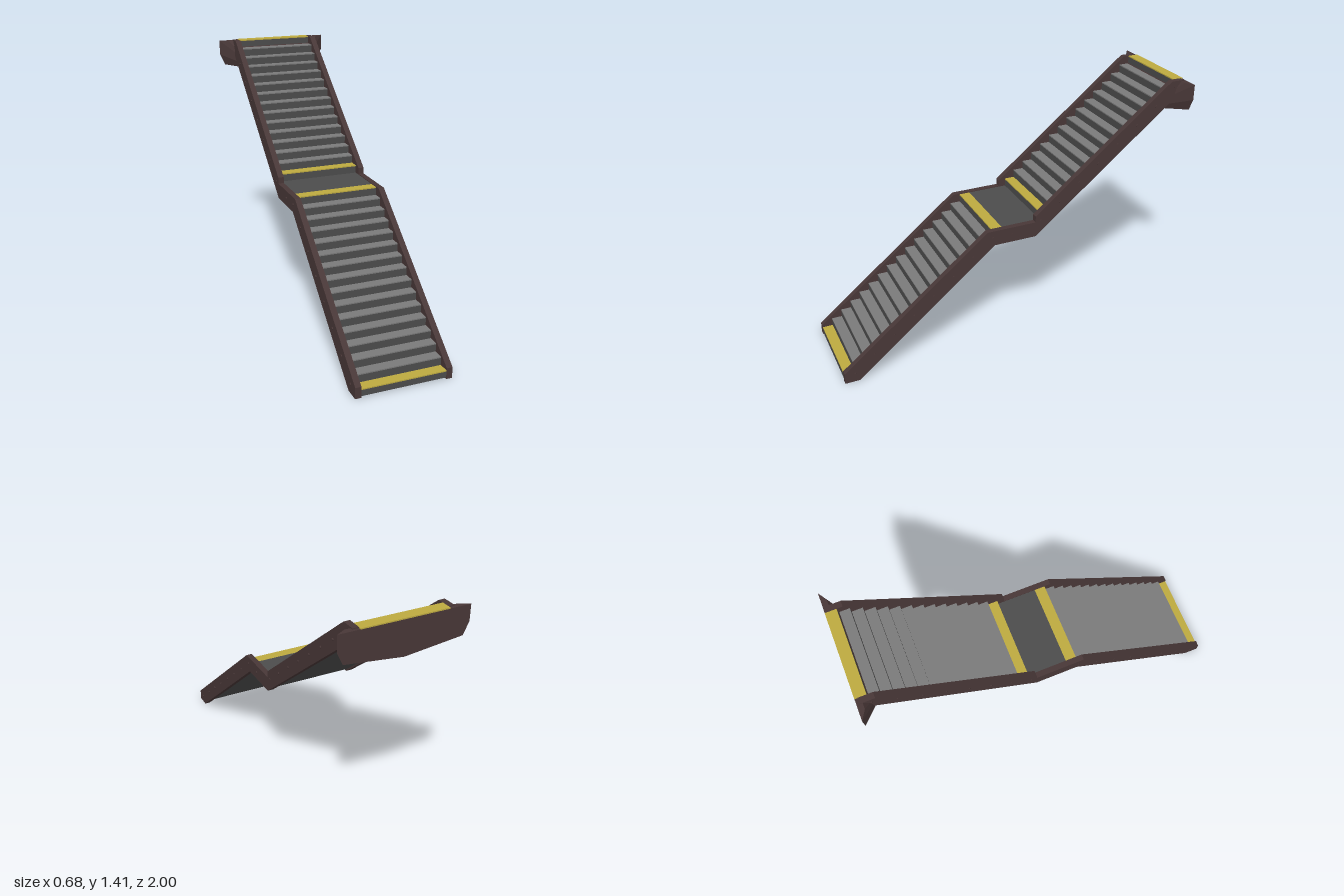
import * as THREE from 'three';
import { ConvexGeometry } from 'three/addons/geometries/ConvexGeometry.js';

const mat = (name, color) => {
  const m = new THREE.MeshStandardMaterial({ color, flatShading: true });
  m.name = name;
  return m;
};

// Extrudes a side profile of [z, y] points across x, from x0 to x1
function sideExtrude(points, x0, x1) {
  const shape = new THREE.Shape(points.map(p => new THREE.Vector2(p[0], p[1])));
  const geo = new THREE.ExtrudeGeometry(shape, { depth: x1 - x0, bevelEnabled: false });
  geo.rotateY(-Math.PI / 2);
  geo.translate(x1, 0, 0);
  return geo;
}

export function createModel() {
  const brown = mat('dark brown metal', 0x483737);
  const darkGrey = mat('dark grey metal', 0x4c4c4c);
  const lightGrey = mat('tread grey', 0x7a7a7a);
  const yellow = mat('safety yellow', 0xbdaa40);
  const group = new THREE.Group();
  const add = (name, geo, material) => {
    const mesh = new THREE.Mesh(geo, material);
    mesh.name = name;
    group.add(mesh);
    return mesh;
  };

  const half = 0.228, plate = 0.006, steps = 15;

  // Step list: front edge z and top height, for both flights
  const treads = [];
  for (let k = 0; k <= steps; k++) {
    treads.push({ z: 0.998 - k * 0.0575, y: 0.047 + k * 0.0453, edge: k === 0 || k === steps });
  }
  for (let k = 1; k <= steps; k++) {
    treads.push({ z: -0.15 - (k - 1) * 0.0565, y: 0.726 + k * 0.0456, edge: k === 1 || k === steps });
  }

  // Stair body: stepped top, smooth underside
  const profile = [[0.935, 0.008], [0.998, 0.008]];
  treads.forEach((t, i) => {
    const next = i + 1 < treads.length ? treads[i + 1].z : -0.995;
    profile.push([t.z, t.y - plate], [next, t.y - plate]);
  });
  profile.push([-0.995, 1.375], [-0.115, 0.66], [0.128, 0.66]);
  add('stairBody', sideExtrude(profile, -half, half), darkGrey);

  // Tread plates, yellow at the ends of each flight
  treads.forEach((t, i) => {
    const next = i + 1 < treads.length ? treads[i + 1].z : -1;
    const back = i === steps ? t.z - 0.06 : next;
    const geo = new THREE.BoxGeometry(half * 2, plate, t.z - back);
    geo.translate(0, t.y - plate / 2, (t.z + back) / 2);
    add(t.edge ? 'warningTread' : 'tread', geo, t.edge ? yellow : lightGrey);
  });

  // Landing plate between the flights
  const landing = new THREE.BoxGeometry(half * 2, plate, 0.23);
  landing.translate(0, 0.7265 - plate / 2, -0.037);
  add('landing', landing, darkGrey);

  // Side stringers with a row of rivets
  const stringer = [
    [0.92, 0], [1, 0], [1, 0.06], [0.17, 0.73], [-0.11, 0.73], [-0.11, 0.765],
    [-0.91, 1.41], [-0.985, 1.41], [-0.985, 1.352], [-0.11, 0.645], [0.13, 0.645],
  ];
  const rivets = [];
  for (let i = 0; i < 8; i++) {
    rivets.push([0.943 - i * 0.1145, 0.05 + i * 0.0915]);
    rivets.push([-0.14 - i * 0.1135, 0.735 + i * 0.0915]);
  }
  rivets.push([0.03, 0.69]);
  for (const s of [-1, 1]) {
    const side = s > 0 ? 'left' : 'right';
    add(side + 'Stringer', sideExtrude(stringer, s > 0 ? 0.228 : -0.26, s > 0 ? 0.26 : -0.228), brown);
    for (const [z, y] of rivets) {
      const geo = new THREE.CylinderGeometry(0.006, 0.006, 0.012, 6);
      geo.rotateZ(Math.PI / 2);
      geo.translate(s * 0.259, y, z);
      add(side + 'Rivet', geo, brown);
    }
  }

  // Faceted top bracket: wide back, tapering forward under the stairs
  const corners = [new THREE.Vector3(0, 1.22, -1), new THREE.Vector3(0, 1.22, -0.825)];
  for (const s of [-1, 1]) {
    for (const [x, y, z] of [
      [0.34, 1.405, -1], [0.34, 1.32, -1], [0.31, 1.255, -1],
      [0.29, 1.405, -0.97], [0.29, 1.3, -0.97], [0.14, 1.236, -0.835],
    ]) corners.push(new THREE.Vector3(s * x, y, z));
  }
  add('topBracket', new ConvexGeometry(corners), brown);

  return group;
}
